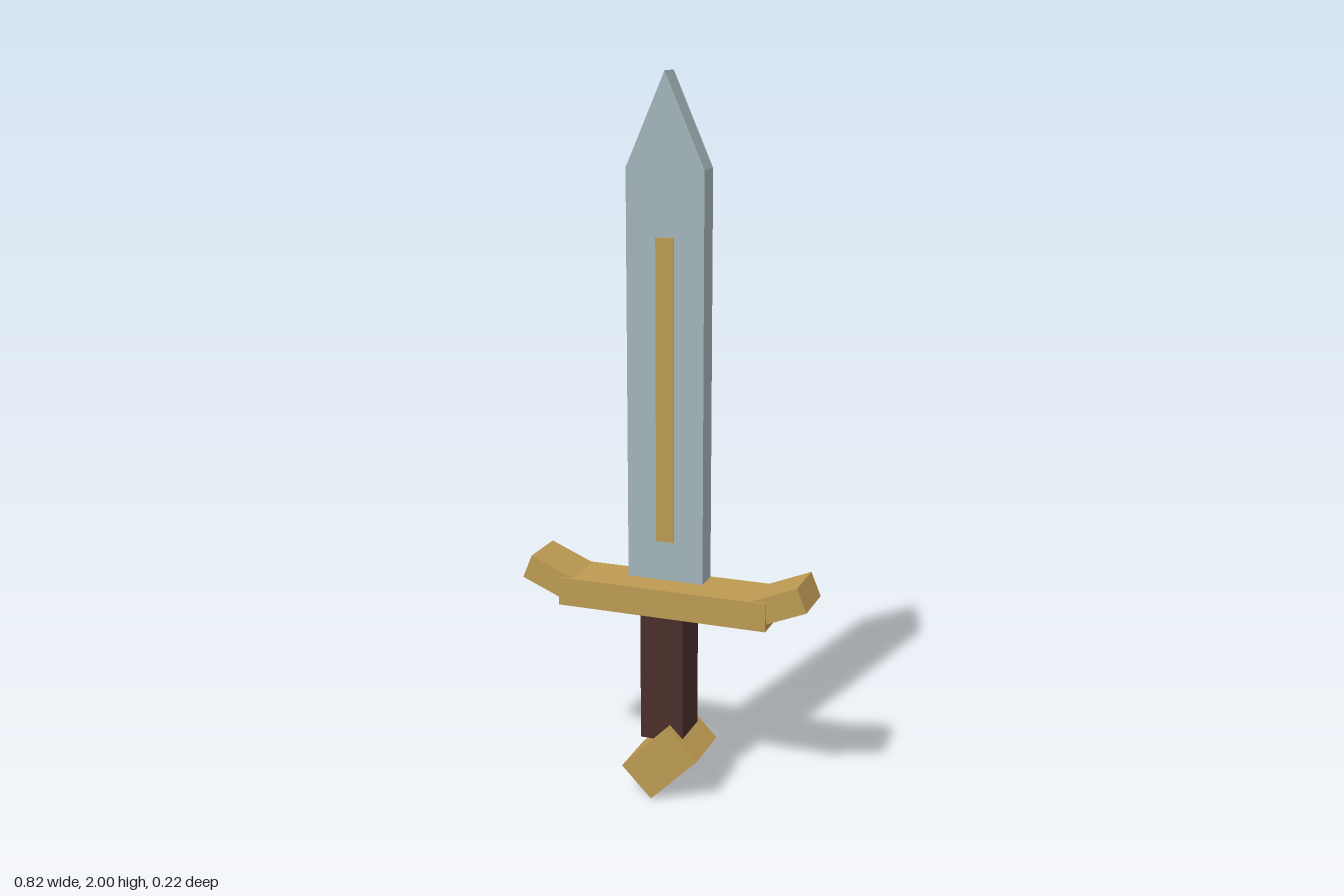
import * as THREE from 'three';

const Z = 0.0245; // shared mid-plane of the blade, guard, grip and pommel

export function createModel() {
  const model = new THREE.Group();
  model.name = 'sword';

  const material = (color) => new THREE.MeshStandardMaterial({ color, flatShading: true });
  const steel = material(0xa3b4ba);
  const gold = material(0xbd9a52);
  const leather = material(0x4a2f2a);

  function add(name, geometry, mat, x, y, z, roll = 0) {
    const mesh = new THREE.Mesh(geometry, mat);
    mesh.name = name;
    mesh.position.set(x, y, z);
    mesh.rotation.z = roll;
    model.add(mesh);
    return mesh;
  }
  const box = (name, size, mat, x, y, z, roll) =>
    add(name, new THREE.BoxGeometry(...size), mat, x, y, z, roll);

  // Blade: flat slab with a pointed tip
  const outline = new THREE.Shape([
    [-0.108, 0.64], [0.108, 0.64], [0.108, 1.755], [0, 2], [-0.108, 1.755],
  ].map(([x, y]) => new THREE.Vector2(x, y)));
  const bladeGeometry = new THREE.ExtrudeGeometry(outline, { depth: 0.067, bevelEnabled: false });
  add('blade', bladeGeometry, steel, 0, 0, Z - 0.0335);

  // Raised strip showing on both faces of the blade
  box('bladeInlay', [0.049, 0.827, 0.077], gold, 0, 1.165, Z);

  // Crossguard with upturned ends
  box('guard', [0.602, 0.08, 0.155], gold, 0, 0.585, Z);
  const tilt = Math.PI / 8;
  for (const side of [-1, 1]) {
    const name = side > 0 ? 'leftGuardEnd' : 'rightGuardEnd';
    box(name, [0.15, 0.0716, 0.142], gold, side * 0.329, 0.615, Z, side * tilt);
  }

  // Diamond stud on the back of the guard
  box('guardStud', [0.114, 0.114, 0.058], gold, 0, 0.59, -0.082, Math.PI / 4);

  // Grip and slanted pommel
  box('grip', [0.124, 0.37, 0.125], leather, 0, 0.361, Z + 0.001);
  box('pommel', [0.194, 0.124, 0.167], gold, 0, 0.1125, Z, Math.PI / 4);

  return model;
}
